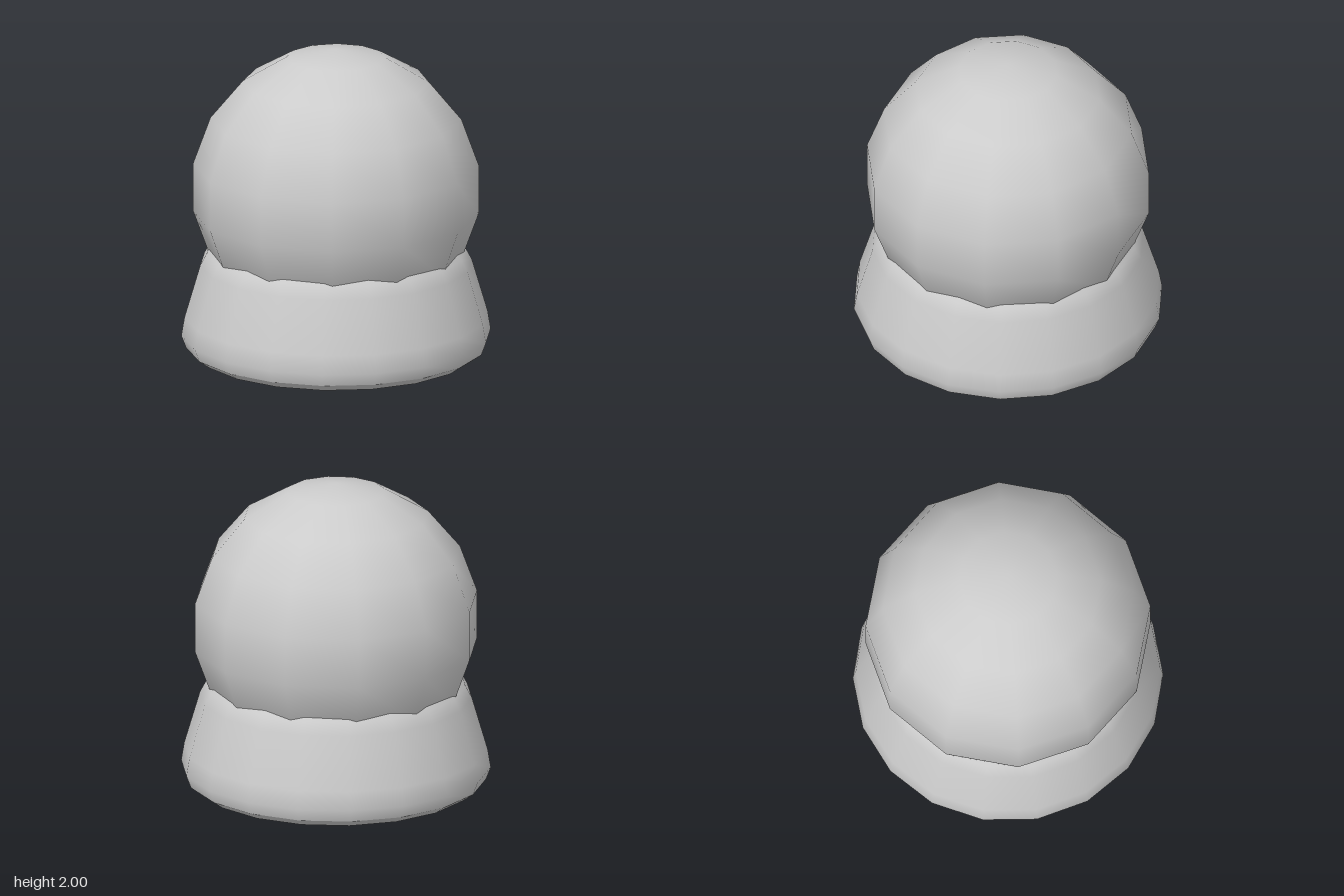
import * as THREE from 'three';

export function createModel() {
  const model = new THREE.Group();
  const material = new THREE.MeshStandardMaterial({ color: 0xcccccc, side: THREE.DoubleSide });

  function add(name, geometry) {
    const mesh = new THREE.Mesh(geometry, material);
    mesh.name = name;
    model.add(mesh);
    return mesh;
  }

  // Globe: low-poly sphere, open at the bottom where it sits in the base
  const globe = add('globe', new THREE.SphereGeometry(0.92, 12, 6, 0, Math.PI * 2, 0, Math.PI * 2 / 3));
  globe.position.y = 1.08;

  // Base: hollow 18-sided ring, turned slightly against the globe
  const turn = THREE.MathUtils.degToRad(6.5);
  const ring = (profile) => new THREE.LatheGeometry(
    profile.map(([r, y]) => new THREE.Vector2(r, y)), 18, turn, Math.PI * 2);

  add('baseWall', ring([
    [0.955, 0.05], [0.985, 0.13], [0.965, 0.25], [0.865, 0.59], [0.825, 0.665], [0.78, 0.715],
  ]));

  // Bevelled lower edge, kept separate for a sharp crease
  add('baseBevel', ring([[0.885, 0], [0.955, 0.05]]));

  return model;
}
